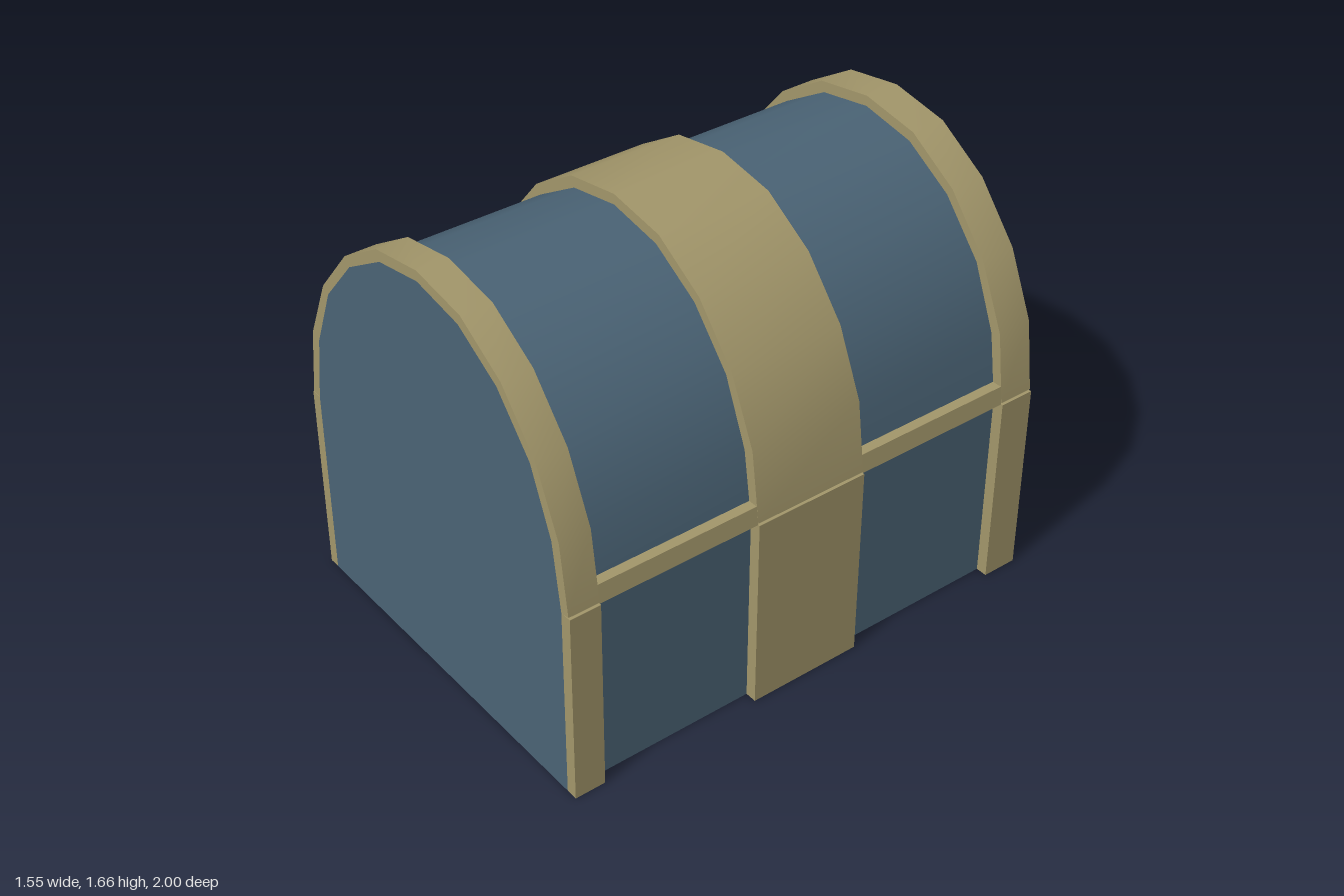
import * as THREE from 'three';
import { toCreasedNormals } from 'three/addons/utils/BufferGeometryUtils.js';

const blue = new THREE.MeshStandardMaterial({ color: 0x4a6375 });
const gold = new THREE.MeshStandardMaterial({ color: 0xa2966a });

const HALF = 0.73, SEAM = 0.77;

// Half-profiles of the domed lid, from the seam up to the crown
const lidInner = [[0.73, 0.77], [0.69, 1.03], [0.59, 1.27], [0.425, 1.46], [0.225, 1.58], [0, 1.62]];
const lidOuter = [[0.768, 0.775], [0.73, 1.045], [0.62, 1.29], [0.45, 1.49], [0.24, 1.62], [0, 1.66]];

// Full arch from right-hand seam over the crown to the other seam
function arch(half) {
  const mirrored = half.slice(0, -1).reverse().map(([x, y]) => [-x, y]);
  return [...half, ...mirrored];
}

function extrude(points, z0, z1) {
  const shape = new THREE.Shape(points.map(([x, y]) => new THREE.Vector2(x, y)));
  const geo = new THREE.ExtrudeGeometry(shape, { depth: z1 - z0, bevelEnabled: false });
  geo.translate(0, 0, z0);
  return toCreasedNormals(geo, 0.5);
}

export function createModel() {
  const chest = new THREE.Group();
  chest.name = 'chest';

  const add = (name, geometry, material) => {
    const mesh = new THREE.Mesh(geometry, material);
    mesh.name = name;
    chest.add(mesh);
    return mesh;
  };

  // Box body and domed lid
  const body = add('body', new THREE.BoxGeometry(2 * HALF, SEAM, 2), blue);
  body.position.y = SEAM / 2;
  add('lid', extrude(arch(lidInner), -1, 1), blue);

  // Metal bands: [name, back z, front z, back z of the post on the left-out side]
  const bands = [
    ['back', -1, -0.86],
    ['middle', -0.215, 0.24],
    ['front', 0.88, 1],
  ];
  for (const [name, z0, z1] of bands) {
    // Hoop over the lid
    const ring = [...arch(lidOuter), ...arch(lidInner).reverse()];
    add(name + 'LidBand', extrude(ring, z0, z1), gold);

    // Posts on both sides of the body
    for (const side of [1, -1]) {
      const end = side < 0 && name === 'back' ? -0.83 : z1;
      const post = add(name + 'Post', new THREE.BoxGeometry(0.045, SEAM, end - z0), gold);
      post.position.set(side * (HALF + 0.0225), SEAM / 2, (z0 + end) / 2);
    }
  }

  // Rim along the lid's lower edge, on one side only, between the bands
  const rim = [[0.72, 0.77], [0.768, 0.77], [0.758, 0.84], [0.71, 0.84]];
  for (let i = 0; i < 2; i++) {
    add('lidRim', extrude(rim, bands[i][2], bands[i + 1][1]), gold);
  }
  return chest;
}
